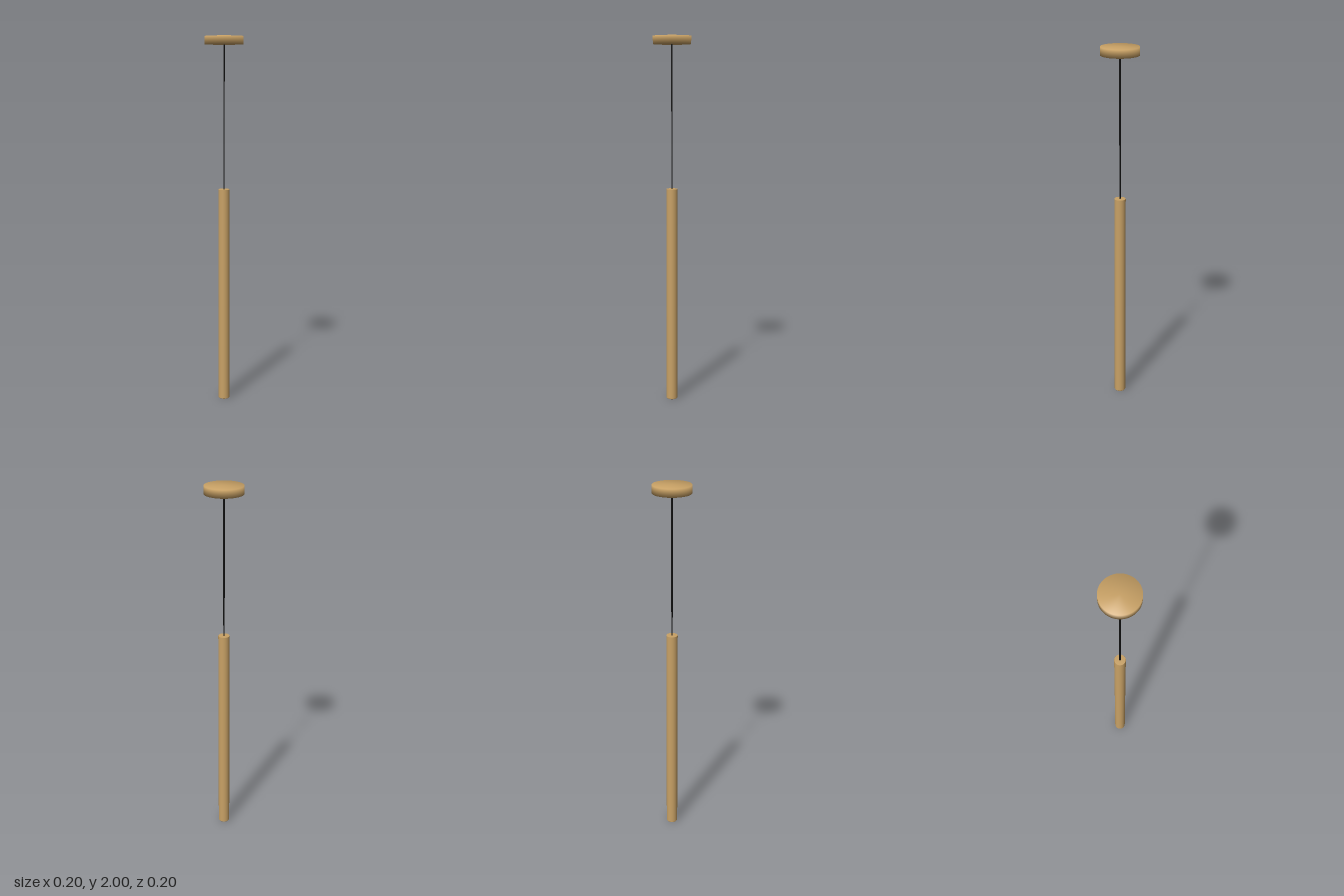
import * as THREE from 'three';

const brass = new THREE.MeshStandardMaterial({ color: 0xc8a165 });
const black = new THREE.MeshStandardMaterial({ color: 0x111111 });
const grey = new THREE.MeshStandardMaterial({ color: 0xcccccc });

// Smooth turned part from [radius, height] pairs, listed bottom to top
function turned(name, profile, material, segments = 64) {
  const points = profile.map(([r, y]) => new THREE.Vector2(r, y));
  const mesh = new THREE.Mesh(new THREE.LatheGeometry(points, segments), material);
  mesh.name = name;
  return mesh;
}

export function createModel() {
  const model = new THREE.Group();
  model.name = 'pendantLamp';

  // Ceiling canopy, softly shaded disc
  model.add(turned('canopy', [[0, 1.957], [0.102, 1.957], [0.102, 2], [0, 2]], brass));

  // Suspension cord
  const cord = new THREE.Mesh(new THREE.CylinderGeometry(0.004, 0.004, 0.775, 16), black);
  cord.name = 'cord';
  cord.position.y = 1.571;
  model.add(cord);

  // Long tube shade with a shallow recess at its lower end
  model.add(turned('tubeShade', [
    [0.024, 0.012], [0.024, 0], [0.029, 0], [0.031, 0.004],
    [0.031, 1.183], [0.03, 1.185], [0, 1.185],
  ], brass, 48));

  // Light diffuser set into the recess
  const diffuser = new THREE.Mesh(new THREE.CylinderGeometry(0.024, 0.024, 0.008, 48), grey);
  diffuser.name = 'diffuser';
  diffuser.position.y = 0.008;
  model.add(diffuser);

  return model;
}
